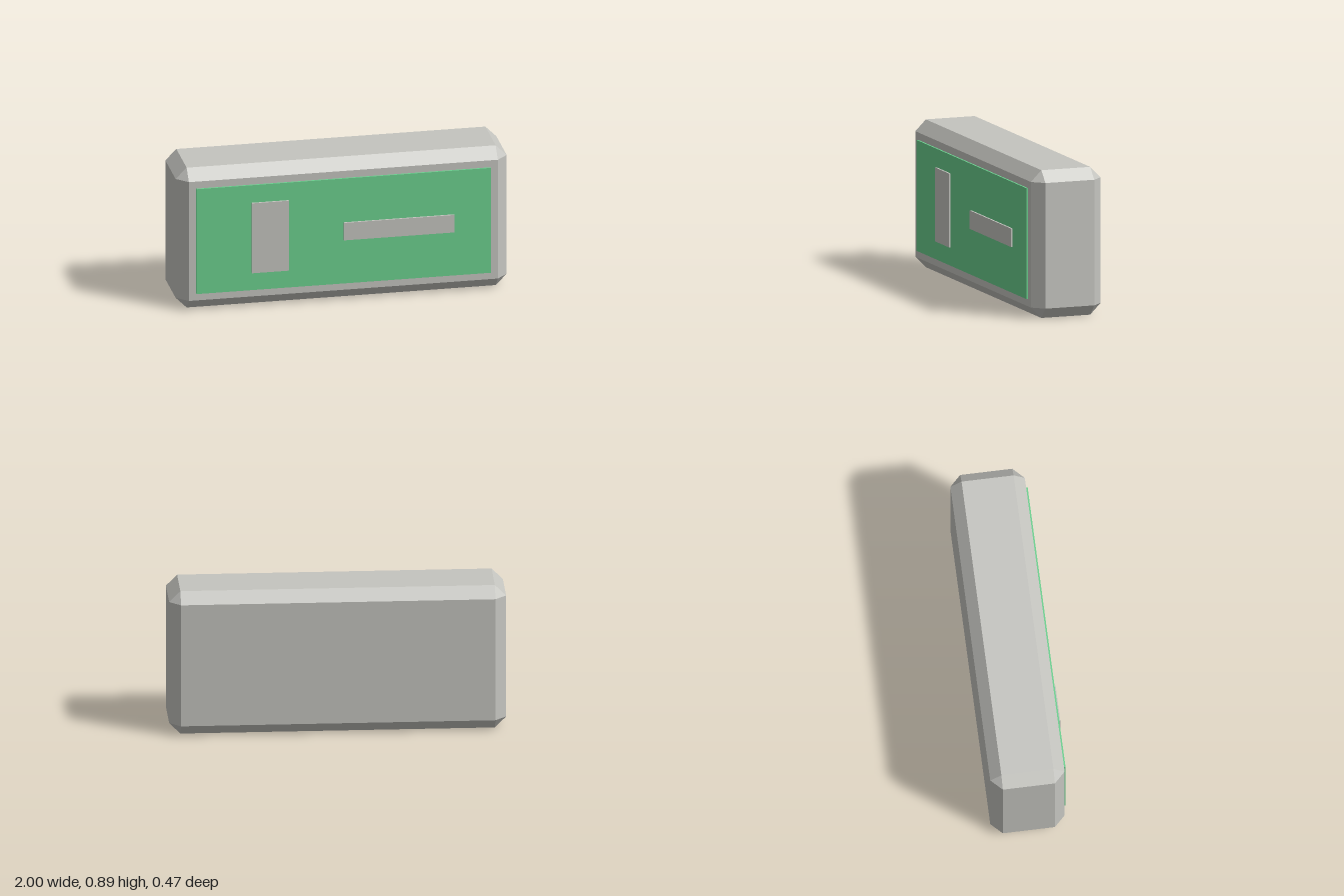
import * as THREE from 'three';
import { ConvexGeometry } from 'three/addons/geometries/ConvexGeometry.js';

// Box with every edge cut at 45 degrees and triangular corners
function chamferedBox(w, h, d, c) {
  const [x, y, z] = [w / 2, h / 2, d / 2];
  const points = [];
  for (const sx of [-1, 1]) for (const sy of [-1, 1]) for (const sz of [-1, 1]) {
    points.push(
      new THREE.Vector3(sx * x, sy * (y - c), sz * (z - c)),
      new THREE.Vector3(sx * (x - c), sy * y, sz * (z - c)),
      new THREE.Vector3(sx * (x - c), sy * (y - c), sz * z)
    );
  }
  return new ConvexGeometry(points);
}

export function createModel() {
  const group = new THREE.Group();
  const grey = new THREE.MeshStandardMaterial({ color: 0xc4c4bf });
  grey.name = 'warm grey';
  const green = new THREE.MeshStandardMaterial({ color: 0x6bcf8e });
  green.name = 'panel green';

  function add(name, geometry, material, x, y, z) {
    const mesh = new THREE.Mesh(geometry, material);
    mesh.name = name;
    mesh.position.set(x, y, z);
    group.add(mesh);
  }

  // Plate given by its x and y limits, its back z and its thickness
  function plate(name, material, x0, x1, y0, y1, z) {
    const t = 0.0111;
    add(name, new THREE.BoxGeometry(x1 - x0, y1 - y0, t), material,
      (x0 + x1) / 2, (y0 + y1) / 2, z + t / 2);
  }

  // Casing
  add('casing', chamferedBox(2, 0.8889, 0.4444, 0.0667), grey, 0, 0.4444, -0.0111);

  // Front panel and the two raised bars on it
  plate('frontPanel', green, -0.8889, 0.8889, 0.1111, 0.7778, 0.2111);
  plate('uprightBar', grey, -0.5556, -0.3333, 0.2222, 0.6667, 0.2222);
  plate('levelBar', grey, 0, 0.6667, 0.3889, 0.5, 0.2222);

  return group;
}
